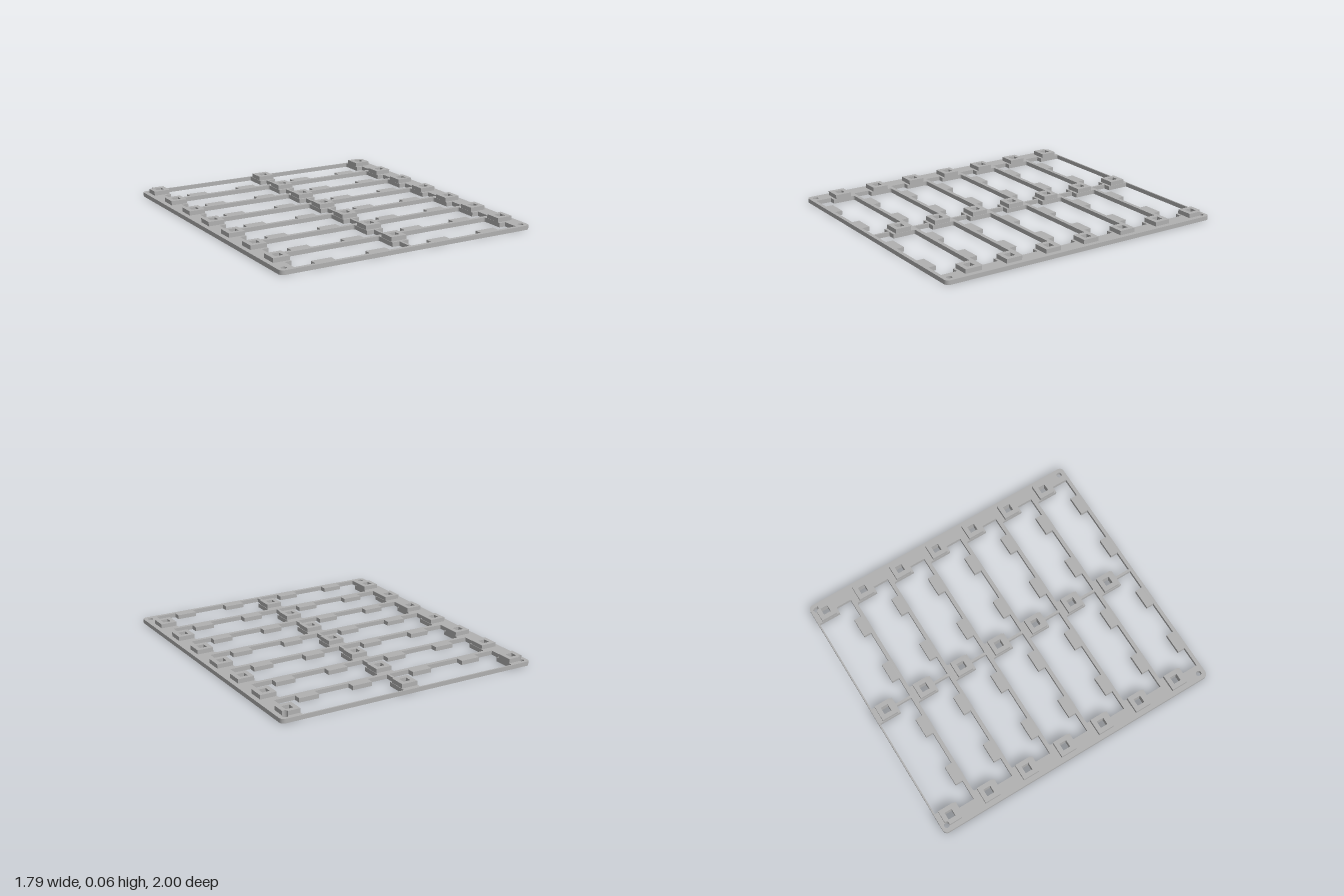
import * as THREE from 'three';

const PLATE_H = 0.028, POST_H = 0.028;
const HALF_X = 0.895, HALF_Z = 1, CORNER_R = 0.03;
const ROWS = 7, PITCH = 0.2845, FIRST_Z = -0.911;
const POST_X = 0.808, POST_HALF = 0.055, SOCKET = 0.025;
const SCREW_X = 0.852, SCREW_R = 0.018;

// Shapes are drawn in plan with shape y = -z, then laid flat.
function extrudeFlat(shape, height) {
  const g = new THREE.ExtrudeGeometry(shape, { depth: height, bevelEnabled: false, curveSegments: 10 });
  return g.rotateX(-Math.PI / 2);
}

function squareHole(x, z) {
  const h = SOCKET;
  return new THREE.Path([[-h, -h], [h, -h], [h, h], [-h, h]].map(([a, b]) => new THREE.Vector2(x + a, -z + b)));
}

// One card opening; s is the side (+1 or -1), z the row's post centre.
function opening(s, z, round) {
  const top = -(z - 0.079), mid = -(z + 0.073), bot = -(z + 0.18), tab = -(z + 0.13);
  const r = round ? 0.014 : 0.003;
  const p = new THREE.Path();
  p.moveTo(s * 0.058, top - r);
  p.quadraticCurveTo(s * 0.058, top, s * (0.058 + r), top);
  p.lineTo(s * (0.752 - r), top);
  p.quadraticCurveTo(s * 0.752, top, s * 0.752, top - r);
  const rest = [
    [0.752, mid], [0.797, mid], [0.797, bot],
    [0.657, bot], [0.657, tab], [0.522, tab], [0.522, bot],
    [0.287, bot], [0.287, tab], [0.15, tab], [0.15, bot],
    [0.008, bot], [0.008, mid], [0.058, mid],
  ];
  for (const [x, y] of rest) p.lineTo(s * x, y);
  p.closePath();
  return p;
}

function framePlate() {
  const X = HALF_X, Z = HALF_Z, r = CORNER_R;
  const s = new THREE.Shape();
  s.moveTo(-X + r, -Z);
  s.lineTo(X - r, -Z);
  s.absarc(X - r, -Z + r, r, -Math.PI / 2, 0, false);
  s.lineTo(X, Z - r);
  s.absarc(X - r, Z - r, r, 0, Math.PI / 2, false);
  s.lineTo(-X + r, Z);
  s.absarc(-X + r, Z - r, r, Math.PI / 2, Math.PI, false);
  s.lineTo(-X, -Z + r);
  s.absarc(-X + r, -Z + r, r, Math.PI, Math.PI * 1.5, false);
  // Card openings and post sockets
  for (let i = 0; i < ROWS; i++) {
    const z = FIRST_Z + i * PITCH;
    for (const side of [-1, 1]) s.holes.push(opening(side, z, i > 0));
    for (const x of [-POST_X, 0, POST_X]) s.holes.push(squareHole(x, z));
  }
  // Screw holes in the corners
  for (const x of [-SCREW_X, SCREW_X]) {
    for (const z of [-0.962, 0.955]) {
      const hole = new THREE.Path();
      hole.absarc(x, -z, SCREW_R, 0, Math.PI * 2, true);
      s.holes.push(hole);
    }
  }
  return extrudeFlat(s, PLATE_H);
}

// Square hollow post; notch is the side (+1 or -1) cut away around a screw hole.
function postGeometry(notch = 0) {
  const h = POST_HALF, pts = [[-h, -h], [h, -h]];
  if (notch) {
    const cx = SCREW_X - POST_X, cy = 0.051;
    const a0 = -Math.acos((h - cx) / SCREW_R);
    const a1 = -Math.PI - Math.asin((h - cy) / SCREW_R);
    for (let i = 0; i <= 8; i++) {
      const a = a0 + (a1 - a0) * i / 8;
      pts.push([cx + SCREW_R * Math.cos(a), cy + SCREW_R * Math.sin(a)]);
    }
  } else pts.push([h, h]);
  pts.push([-h, h]);
  const shape = new THREE.Shape(pts.map(([x, y]) => new THREE.Vector2(x * (notch || 1), y)));
  shape.holes.push(squareHole(0, 0));
  return extrudeFlat(shape, POST_H);
}

export function createModel() {
  const model = new THREE.Group();
  model.name = 'slottedRack';
  const grey = new THREE.MeshStandardMaterial({ color: 0xb0b0b0 });
  grey.name = 'plainGrey';

  const plate = new THREE.Mesh(framePlate(), grey);
  plate.name = 'framePlate';
  model.add(plate);

  // Three columns of posts
  const posts = new THREE.Group();
  posts.name = 'posts';
  const plain = postGeometry();
  for (let i = 0; i < ROWS; i++) {
    for (const side of [-1, 0, 1]) {
      const post = new THREE.Mesh(i === 0 && side ? postGeometry(side) : plain, grey);
      post.name = i === 0 && side ? 'notchedPost' : 'post';
      post.position.set(side * POST_X, PLATE_H, FIRST_Z + i * PITCH);
      posts.add(post);
    }
  }
  model.add(posts);
  return model;
}
